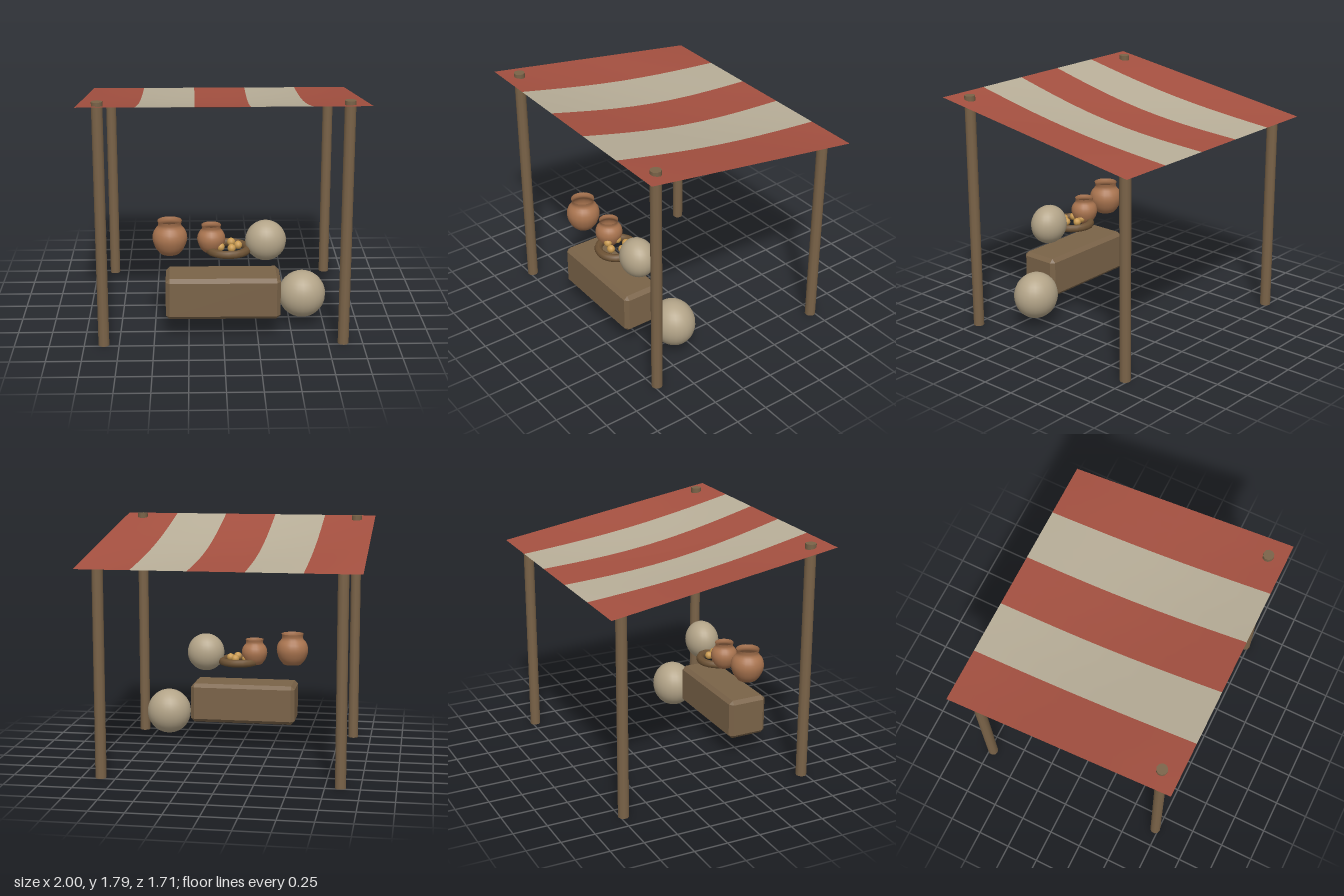
import * as THREE from 'three';
import { ConvexGeometry } from 'three/addons/geometries/ConvexGeometry.js';

const mat = (color, extra = {}) => new THREE.MeshStandardMaterial({ color, ...extra });
const wood = mat(0x7a6348);
const red = mat(0xa45040, { side: THREE.DoubleSide });
const cream = mat(0xb8ae98, { side: THREE.DoubleSide });
const clay = mat(0xa9744f, { side: THREE.DoubleSide });
const sackCloth = mat(0xb3a488);
const basketCane = mat(0x6e5335);
const fruitSkin = mat(0xc99a50);

export function createModel() {
  const stall = new THREE.Group();
  stall.name = 'marketStall';

  const add = (name, geometry, material, x = 0, y = 0, z = 0) => {
    const mesh = new THREE.Mesh(geometry, material);
    mesh.name = name;
    mesh.position.set(x, y, z);
    stall.add(mesh);
    return mesh;
  };

  // Posts: tall pair in front, short pair behind
  for (const [side, sx] of [['left', 1], ['right', -1]]) {
    for (const [end, z, h] of [['Front', 0.725, 1.79], ['Back', -0.725, 1.52]]) {
      add(`${side}${end}Post`, new THREE.CylinderGeometry(0.04, 0.04, h, 10), wood, sx * 0.86, h / 2, z);
    }
  }

  // Canopy: five striped strips, straight at the edges and sagging in the middle
  const halfDepth = 0.855;
  for (let i = 0; i < 5; i++) {
    const strip = new THREE.PlaneGeometry(0.4, halfDepth * 2, 4, 10);
    strip.rotateX(-Math.PI / 2).translate(-0.8 + i * 0.4, 0, 0);
    const p = strip.attributes.position;
    for (let k = 0; k < p.count; k++) {
      const u = p.getX(k) / 2;
      const v = p.getZ(k) / (2 * halfDepth);
      const sag = 0.06 * Math.cos(Math.PI * u) * Math.cos(Math.PI * v);
      p.setY(k, 1.65 + 0.26 * v - sag);
    }
    strip.computeVertexNormals();
    add(`canopyStripe${i + 1}`, strip, i % 2 ? cream : red);
  }

  // Crate with chamfered edges
  const half = [0.413, 0.155, 0.153];
  const bevel = 0.028;
  const corners = [];
  for (const sx of [-1, 1]) for (const sy of [-1, 1]) for (const sz of [-1, 1]) {
    for (let axis = 0; axis < 3; axis++) {
      const [x, y, z] = half.map((h, a) => (a === axis ? h : h - bevel));
      corners.push(new THREE.Vector3(sx * x, sy * y, sz * z));
    }
  }
  add('crate', new ConvexGeometry(corners), wood, -0.002, 0.315, 0.522);

  // Sacks
  const ball = new THREE.SphereGeometry(1, 24, 18);
  add('upperSack', ball, sackCloth, 0.306, 0.708, 0.498).scale.set(0.147, 0.148, 0.127);
  add('lowerSack', ball, sackCloth, 0.585, 0.245, 0.382).scale.set(0.173, 0.176, 0.158);

  // Clay pots, open at the top
  const profile = new THREE.SplineCurve([
    [0.07, 0], [0.105, 0.045], [0.125, 0.11], [0.114, 0.165], [0.083, 0.207], [0.088, 0.245],
  ].map(([r, y]) => new THREE.Vector2(r, y))).getPoints(15);
  const pot = new THREE.LatheGeometry([new THREE.Vector2(0, 0), ...profile], 20);
  add('largePot', pot, clay, -0.382, 0.625, 0.52);
  add('smallPot', pot, clay, -0.085, 0.625, 0.485).scale.setScalar(0.81);

  // Basket ring holding a circle of fruit
  const ring = new THREE.TorusGeometry(0.138, 0.03, 8, 20).rotateX(Math.PI / 2);
  add('basketRing', ring, basketCane, 0.038, 0.645, 0.498);
  const fruit = new THREE.SphereGeometry(0.03, 12, 8);
  for (let i = 0; i < 5; i++) {
    const a = (i / 5) * Math.PI * 2;
    add(`fruit${i + 1}`, fruit, fruitSkin, 0.038 + 0.07 * Math.cos(a), 0.672, 0.498 + 0.07 * Math.sin(a));
  }

  return stall;
}
